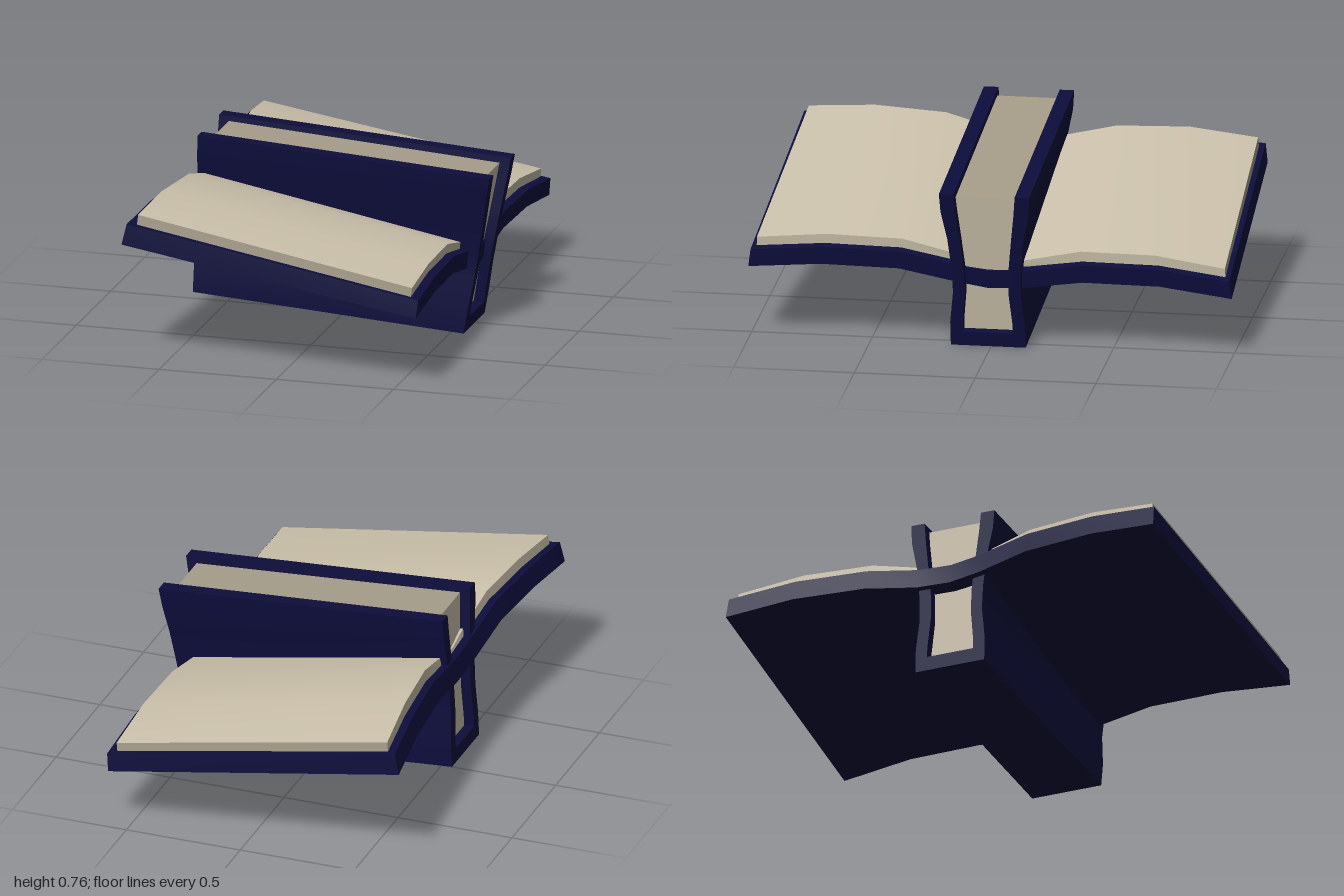
import * as THREE from 'three';
import { toCreasedNormals } from 'three/addons/utils/BufferGeometryUtils.js';

// Solid through four-cornered sections; group 0 = sides, group 1 = end caps
function loft(sections) {
  const pos = sections.flat(2), sides = [], caps = [];
  const n = sections.length;
  for (let i = 0; i < n - 1; i++) {
    for (let j = 0; j < 4; j++) {
      const a = i * 4 + j, b = i * 4 + (j + 1) % 4;
      sides.push(a, b, b + 4, a, b + 4, a + 4);
    }
  }
  const e = (n - 1) * 4;
  caps.push(0, 2, 1, 0, 3, 2, e, e + 1, e + 2, e, e + 2, e + 3);
  const g = new THREE.BufferGeometry();
  g.setAttribute('position', new THREE.Float32BufferAttribute(pos, 3));
  g.setIndex([...sides, ...caps]);
  const out = toCreasedNormals(g, 0.6);
  out.clearGroups();
  out.addGroup(0, sides.length, 0);
  out.addGroup(sides.length, caps.length, 1);
  return out;
}

// Piecewise linear lookup in [position, value] pairs
function lookup(table, t) {
  for (let i = 1; i < table.length; i++) {
    const [p, a] = table[i - 1], [q, b] = table[i];
    if (t <= q) return a + (b - a) * (t - p) / (q - p);
  }
  return table[table.length - 1][1];
}

export function createModel() {
  const group = new THREE.Group();
  const material = (name, color) => {
    const m = new THREE.MeshStandardMaterial({ color });
    m.name = name;
    return m;
  };
  const navy = material('navy cover', 0x0d0d3c);
  const paper = material('cream paper', 0xcbc1ab);
  const edge = material('shaded paper edge', 0xa69d8a);
  const add = (name, sections, mats, parent) => {
    const mesh = new THREE.Mesh(loft(sections), mats);
    mesh.name = name;
    parent.add(mesh);
  };

  // Open book lying flat, sloping down towards +x
  const open = new THREE.Group();
  open.name = 'openBook';
  group.add(open);
  // z, x at +x end, x at -x end, underside height at +x end, page thickness
  const stations = [
    [-1, 0.58, -0.668, 0.256, 0.04],
    [-0.7, 0.573, -0.64, 0.293, 0.045],
    [-0.38, 0.565, -0.612, 0.293, 0.045],
    [-0.14, 0.565, -0.598, 0.26, 0.03],
    [0.012, 0.575, -0.595, 0.256, 0.008],
    [0.15, 0.565, -0.598, 0.275, 0.03],
    [0.38, 0.573, -0.612, 0.322, 0.04],
    [0.7, 0.583, -0.64, 0.33, 0.042],
    [1, 0.595, -0.66, 0.31, 0.04],
  ];
  add('openCover', stations.map(([z, xn, xf, y]) => [
    [xn, y, z],
    [xn + 0.008, y + 0.075, z * 0.99],
    [xf + 0.008, y + 0.285, z * 0.955],
    [xf - 0.012, y + 0.198, z * 0.96],
  ]), navy, open);
  add('openPages', stations.map(([z, xn, xf, y, t]) => [
    [xn - 0.03, y + 0.075, z * 0.97],
    [xn - 0.025, y + 0.08 + t, z * 0.968],
    [xf + 0.05, y + 0.282 + t, z * 0.93],
    [xf + 0.045, y + 0.275, z * 0.933],
  ]), [paper, edge], open);

  // Closed book standing on its spine, pinched at the waist
  const upright = new THREE.Group();
  upright.name = 'uprightBook';
  group.add(upright);
  const mid = 0.012;
  const outer = [[0, 0.155], [0.15, 0.155], [0.35, 0.14], [0.5, 0.143], [0.7, 0.157], [0.88, 0.182], [1, 0.187]];
  const inner = [[0, 0.105], [0.15, 0.103], [0.35, 0.09], [0.5, 0.092], [0.7, 0.106], [0.88, 0.12], [1, 0.127]];
  const slab = (v, z0, z1, inset) => {
    const xn = 0.555 + 0.12 * v - inset, xf = -0.6 + 0.03 * v + inset;
    const yn = 0.68 * v, yf = 0.08 + 0.68 * v;
    return [[xn, yn, z1], [xn, yn, z0], [xf, yf, z0], [xf, yf, z1]];
  };
  const levels = outer.map(([v]) => v);
  add('leftBoard', levels.map((v) =>
    slab(v, mid + lookup(inner, v), mid + lookup(outer, v), 0)), navy, upright);
  add('rightBoard', levels.map((v) =>
    slab(v, mid - lookup(outer, v), mid - lookup(inner, v), 0)), navy, upright);
  add('spine', [0, 0.09].map((v) =>
    slab(v, mid - 0.12, mid + 0.12, 0)), navy, upright);
  add('uprightPages', [0.085, ...levels.slice(1, -1), 0.965].map((v) => {
    const w = lookup(inner, v) + 0.002;
    return slab(v, mid - w, mid + w, 0.043);
  }), [paper, edge], upright);

  return group;
}
